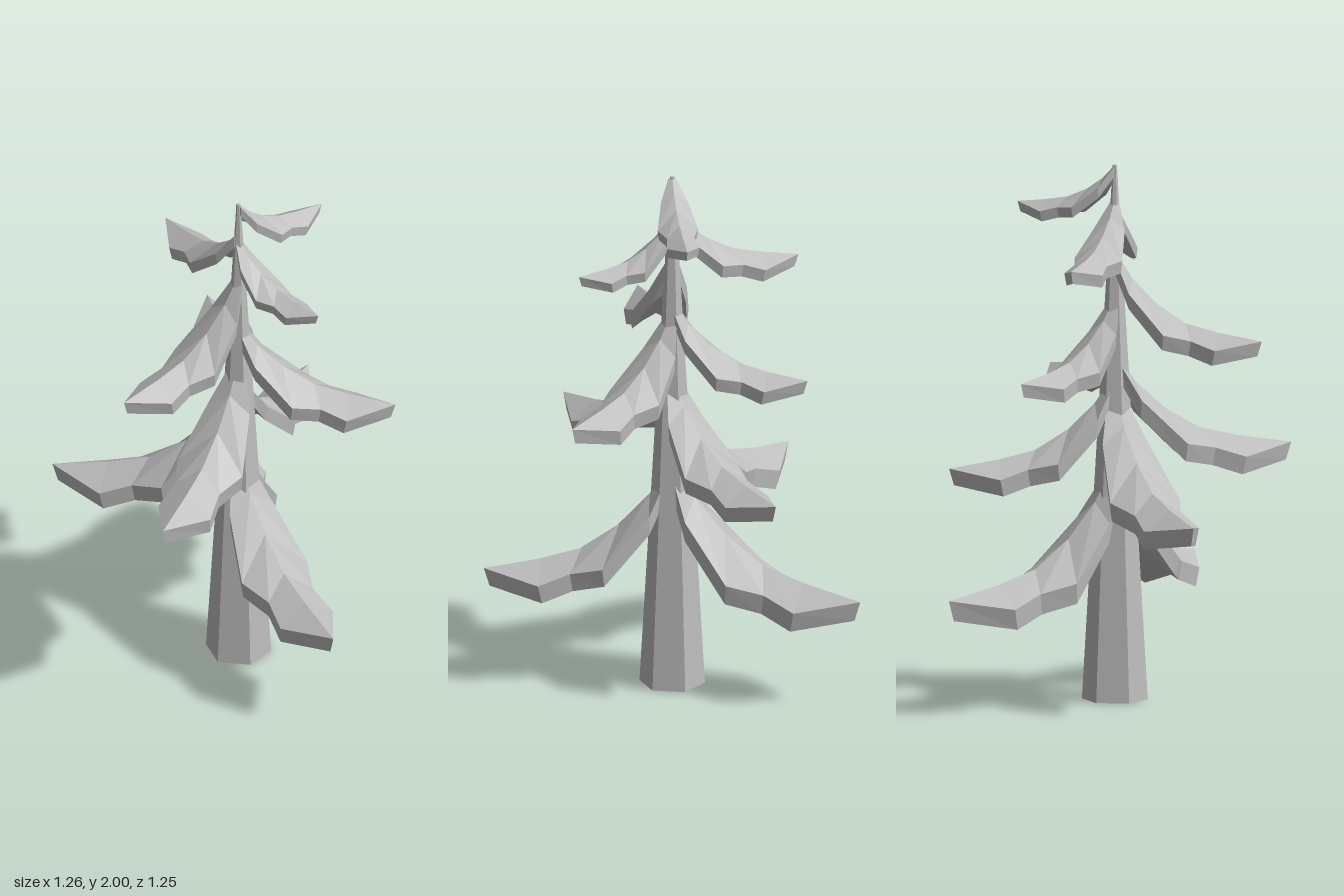
import * as THREE from 'three';

const CX = -0.022, CZ = -0.022; // trunk axis

// Bough stations, in units of bough length:
// ridge position, ridge height (share of the droop), edge position, half width
const STATIONS = [
  [0, 1, 0, 0.04],
  [0.12, 0.68, 0.13, 0.13],
  [0.28, 0.4, 0.38, 0.2],
  [0.48, 0.18, 0.55, 0.135],
  [0.7, 0.085, 0.72, 0.16],
  [1, 0, 1, 0],
];
const lerpRidge = (t) => {
  for (let i = 1; i < STATIONS.length; i++) {
    const [t0, h0] = STATIONS[i - 1], [t1, h1] = STATIONS[i];
    if (t <= t1) return h0 + (h1 - h0) * (t - t0) / (t1 - t0);
  }
  return 0;
};

// Drooping, ridged slab with a jagged outline, pointing along +z
function boughGeometry(length, droop) {
  const thick = 0.1 * length;
  const rings = STATIONS.map(([t, h, e, w]) => {
    const edgeY = droop * lerpRidge(e) - 0.6 * w * length;
    const top = [
      [w * length, edgeY, e * length],
      [0, droop * h, t * length],
      [-w * length, edgeY, e * length],
    ];
    const bottom = top.map(([x, y, z]) => [x * 0.93, y - thick, z * 0.97]).reverse();
    return [...top, ...bottom].map((p) => new THREE.Vector3(...p));
  });

  const pos = [];
  const tri = (a, b, c) => {
    const area = b.clone().sub(a).cross(c.clone().sub(a)).length();
    if (area > 1e-8) for (const p of [a, b, c]) pos.push(p.x, p.y, p.z);
  };
  for (let i = 0; i < rings.length - 1; i++) {
    for (let j = 0; j < 6; j++) {
      const k = (j + 1) % 6, r = rings[i], s = rings[i + 1];
      // split each side alike so both halves mirror
      if (j === 0 || j === 3) {
        tri(r[j], r[k], s[j]);
        tri(r[k], s[k], s[j]);
      } else {
        tri(r[j], r[k], s[k]);
        tri(r[j], s[k], s[j]);
      }
    }
  }
  // root cap
  for (let k = 1; k < 5; k++) tri(rings[0][0], rings[0][k + 1], rings[0][k]);

  const g = new THREE.BufferGeometry();
  g.setAttribute('position', new THREE.Float32BufferAttribute(pos, 3));
  g.computeVertexNormals();
  return g;
}

export function createModel() {
  const tree = new THREE.Group();
  tree.name = 'pineTree';
  const grey = new THREE.MeshStandardMaterial({ color: 0xbdbdbd });
  grey.name = 'grey';
  grey.flatShading = true;

  // Tapered six-sided trunk
  const trunk = new THREE.Mesh(new THREE.CylinderGeometry(0.008, 0.122, 2, 6), grey);
  trunk.name = 'trunk';
  trunk.position.set(CX, 1, CZ);
  tree.add(trunk);

  // Boughs from bottom to top: tip x, tip y, tip z, root y
  const boughs = [
    [0.63, 0.46, 0.225, 0.88],
    [-0.53, 0.44, -0.6, 0.89],
    [-0.635, 0.74, 0.315, 1.17],
    [-0.18, 0.88, -0.625, 1.22],
    [0.14, 0.945, 0.62, 1.3],
    [0.5, 1.175, -0.3, 1.47],
    [-0.43, 1.24, -0.34, 1.51],
    [-0.12, 1.36, 0.53, 1.68],
    [0.355, 1.66, -0.025, 1.84],
    [-0.475, 1.67, -0.15, 1.87],
    [0.075, 1.845, -0.39, 2.0],
  ];
  boughs.forEach(([x, y, z, rootY], i) => {
    const dx = x - CX, dz = z - CZ;
    const bough = new THREE.Mesh(boughGeometry(Math.hypot(dx, dz), rootY - y), grey);
    bough.name = `bough${i + 1}`;
    bough.position.set(CX, y, CZ);
    bough.rotation.y = Math.atan2(dx, dz);
    tree.add(bough);
  });
  return tree;
}
